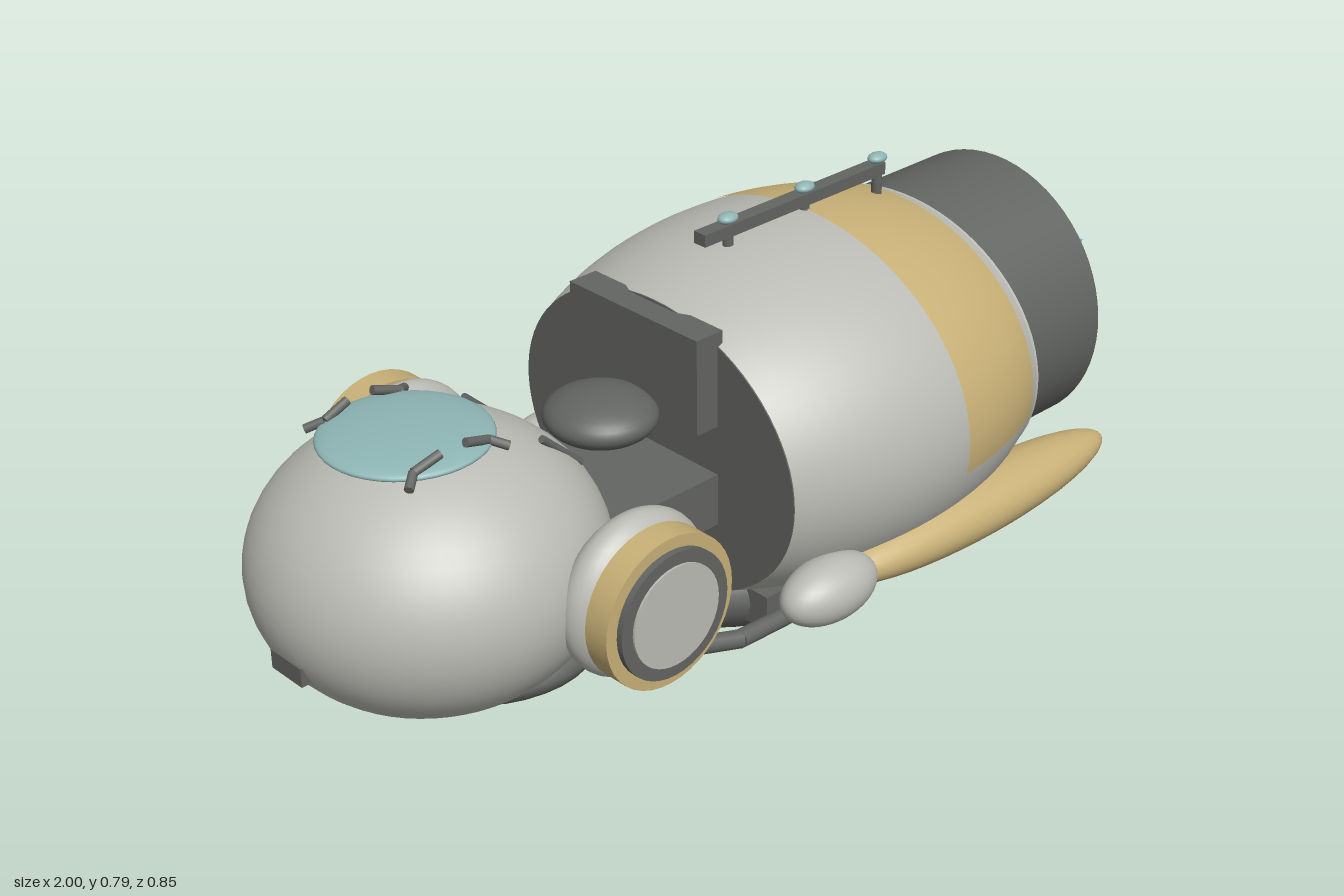
import * as THREE from 'three';

const mat = (name, color) => {
  const m = new THREE.MeshStandardMaterial({ color });
  m.name = name;
  return m;
};

export function createModel() {
  const root = new THREE.Group();
  root.name = 'submersible';
  const light = mat('light hull grey', 0xbbbbb5);
  const dark = mat('dark metal grey', 0x636562);
  const tan = mat('tan trim', 0xc8b077);
  const teal = mat('teal glass', 0x8db5b4);
  const blue = mat('blue cone', 0x78b5d6);

  const add = (name, geo, material, x = 0, y = 0, z = 0) => {
    const m = new THREE.Mesh(geo, material);
    m.name = name;
    m.position.set(x, y, z);
    root.add(m);
    return m;
  };
  const ellipsoid = (name, material, c, r, seg = 40) =>
    add(name, new THREE.SphereGeometry(1, seg, seg / 2).scale(...r), material, ...c);
  // box given by its minimum and maximum corners
  const box = (name, material, a, b) =>
    add(name, new THREE.BoxGeometry(b[0] - a[0], b[1] - a[1], b[2] - a[2]), material,
      (a[0] + b[0]) / 2, (a[1] + b[1]) / 2, (a[2] + b[2]) / 2);
  const rod = (name, material, r, pts) => {
    const path = new THREE.CurvePath();
    const v = pts.map(p => new THREE.Vector3(...p));
    for (let i = 1; i < v.length; i++) {
      const length = v[i].distanceTo(v[i - 1]);
      const m = add(name, new THREE.CylinderGeometry(r, r, length, 12), material);
      m.position.copy(v[i]).add(v[i - 1]).multiplyScalar(0.5);
      m.quaternion.setFromUnitVectors(new THREE.Vector3(0, 1, 0), v[i].clone().sub(v[i - 1]).normalize());
    }
    return path;
  };
  // cylinder or cone whose axis runs along x, from x0 to x1
  const alongX = (name, material, r0, r1, x0, x1, seg = 48) =>
    add(name, new THREE.CylinderGeometry(r1, r0, x1 - x0, seg).rotateZ(-Math.PI / 2),
      material, (x0 + x1) / 2, 0.41, 0);

  // Barrel hull: a truncated ellipsoid running along x
  const barrel = (name, material, x0, x1, grow, start, sweep) => {
    const pts = [];
    for (let i = 0; i <= 20; i++) {
      const x = x0 + (x1 - x0) * i / 20;
      pts.push(new THREE.Vector2(Math.sqrt(1 - ((x - 0.125) / 0.567) ** 2) + grow, x));
    }
    const geo = new THREE.LatheGeometry(pts, 72, start, sweep);
    return add(name, geo.rotateZ(-Math.PI / 2).scale(1, 0.33, 0.413), material, 0, 0.41, 0);
  };
  barrel('hull', light, -0.19, 0.445, 0, 0, Math.PI * 2);
  barrel('hullBand', tan, 0.175, 0.412, 0.006, Math.PI * 1.5 - 1.72, 3.44);
  const endCap = (name, material, x, thick) =>
    add(name, new THREE.CylinderGeometry(0.832, 0.832, thick, 72).rotateZ(-Math.PI / 2)
      .scale(1, 0.33, 0.413), material, x, 0.41, 0);
  endCap('hullFrontPlate', dark, -0.188, 0.008);
  endCap('hullRearPlate', light, 0.441, 0.008);

  // Engine drum, rear plate, bolts and cone
  alongX('engineDrum', dark, 0.274, 0.274, 0.4, 0.706, 64);
  alongX('enginePlate', dark, 0.215, 0.215, 0.7, 0.709);
  alongX('tailCone', blue, 0.153, 0, 0.705, 1, 32);
  for (let i = 0; i < 8; i++) {
    const a = i * Math.PI / 4;
    ellipsoid('bolt', dark, [0.708, 0.41 + 0.191 * Math.cos(a), 0.191 * Math.sin(a)],
      [0.024, 0.024, 0.024], 20);
  }

  // Head with dark chin, roof window and nose vent
  ellipsoid('head', light, [-0.695, 0.388, 0], [0.305, 0.243, 0.303], 56);
  ellipsoid('chin', dark, [-0.61, 0.222, 0], [0.215, 0.073, 0.235]);
  ellipsoid('roofWindow', teal, [-0.727, 0.63, 0], [0.145, 0.02, 0.145]);
  box('noseVent', dark, [-0.99, 0.29, -0.04], [-0.95, 0.325, 0.04]);

  // Neck, lid and bulkhead box
  box('neck', dark, [-0.52, 0.305, -0.16], [-0.18, 0.405, 0.16]);
  ellipsoid('lid', dark, [-0.316, 0.51, 0], [0.1, 0.045, 0.103]);
  box('bulkheadBox', dark, [-0.24, 0.5, -0.16], [-0.18, 0.68, 0.16]);

  // Belly
  ellipsoid('belly', dark, [0.05, 0.135, 0], [0.33, 0.132, 0.25]);

  for (const s of [1, -1]) {
    // Side lamp on the head
    const lamp = (name, material, r, z0, z1) =>
      add(name, new THREE.CylinderGeometry(r, r, z1 - z0, 40).rotateX(Math.PI / 2),
        material, -0.514, 0.377, s * (z0 + z1) / 2);
    ellipsoid('lampPod', light, [-0.514, 0.377, s * 0.3], [0.148, 0.148, 0.07]);
    lamp('lampRim', tan, 0.137, 0.335, 0.385);
    lamp('lampRing', dark, 0.115, 0.38, 0.397);
    lamp('lampLens', light, 0.092, 0.39, 0.401);

    // Side float
    ellipsoid('floatNose', light, [-0.125, 0.238, s * 0.365], [0.105, 0.058, 0.06]);
    ellipsoid('floatBody', tan, [0.275, 0.23, s * 0.343], [0.367, 0.058, 0.073]);

    // Strut, belly block and small head bars
    rod('strut', dark, 0.017, [[-0.52, 0.205, s * 0.22], [-0.26, 0.158, s * 0.285],
      [0.22, 0.15, s * 0.295], [0.6, 0.185, s * 0.258]]);
    box('bellyBlock', dark, [-0.15, 0.1, s > 0 ? 0.145 : -0.24], [0.2, 0.17, s > 0 ? 0.24 : -0.145]);
    rod('headBar', dark, 0.007, [[-0.53, 0.585, s * 0.1], [-0.45, 0.51, s * 0.1]]);
    for (const t of [1, -1]) {
      rod('windowClip', dark, 0.008, [[-0.725 + t * 0.025, 0.654, s * 0.12],
        [-0.725 + t * 0.075, 0.638, s * 0.115], [-0.725 + t * 0.1, 0.625, s * 0.135]]);
    }
  }

  // Roof rail with posts and lamps
  box('roofRail', dark, [-0.08, 0.75, -0.014], [0.375, 0.773, 0.014]);
  for (const x of [-0.012, 0.178, 0.368]) {
    rod('railPost', dark, 0.01, [[x, 0.69, 0], [x, 0.775, 0]]);
    ellipsoid('railLamp', teal, [x, 0.78, 0], [0.021, 0.01, 0.016], 16);
  }
  return root;
}
